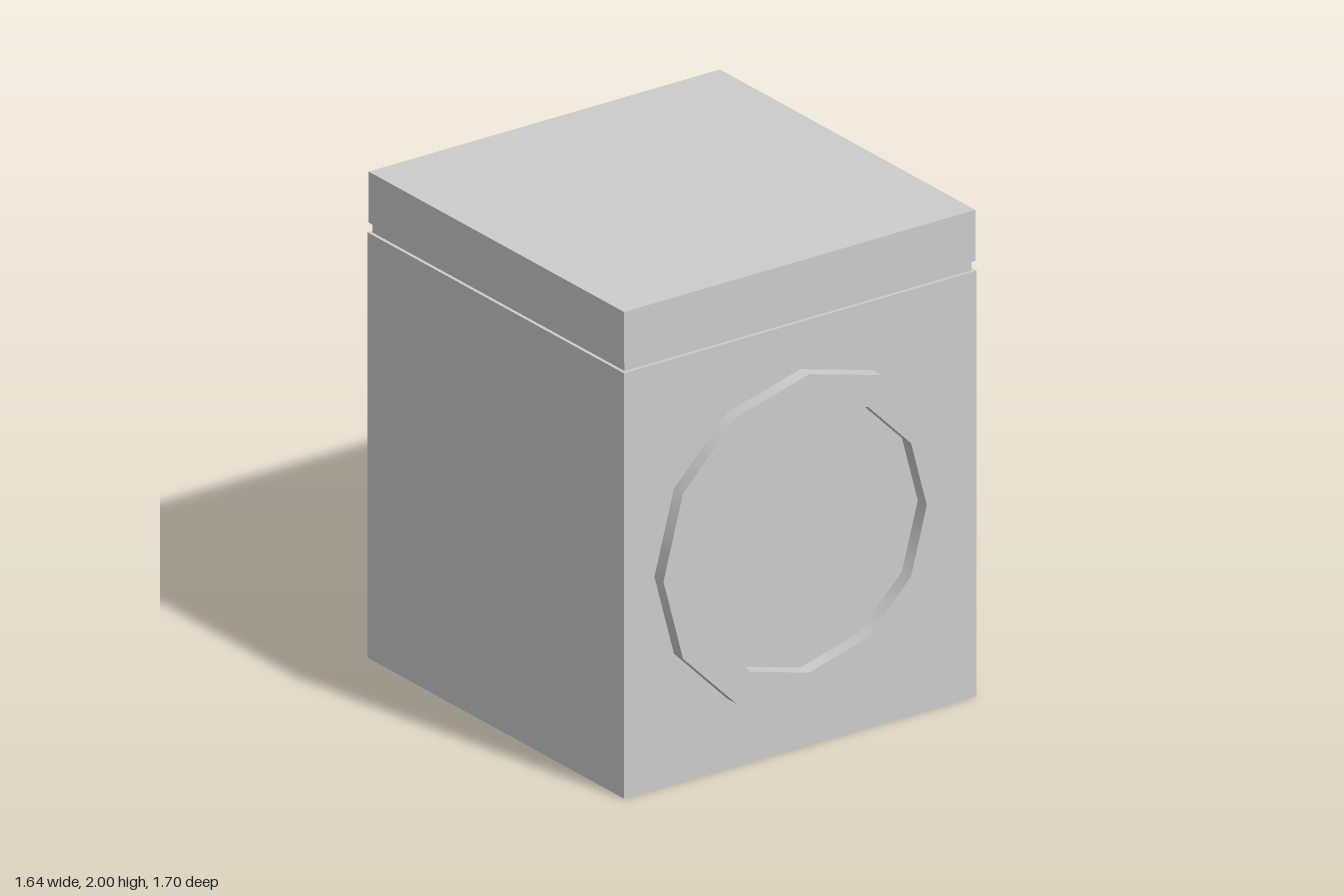
import * as THREE from 'three';
import { mergeGeometries } from 'three/addons/utils/BufferGeometryUtils.js';

export function createModel() {
  const group = new THREE.Group();
  const material = new THREE.MeshStandardMaterial({ color: 0xcccccc });
  const centreZ = -0.028;

  function add(name, geometry, y, z) {
    const mesh = new THREE.Mesh(geometry, material);
    mesh.name = name;
    mesh.position.set(0, y, z);
    group.add(mesh);
  }

  // Stacked square slabs: cabinet, recessed gap and top panel
  const slabs = [
    ['cabinet', 1.645, 0, 1.75],
    ['recessedGap', 1.616, 1.75, 1.79],
    ['topPanel', 1.638, 1.79, 2],
  ];
  for (const [name, width, bottom, top] of slabs) {
    add(name, new THREE.BoxGeometry(width, top - bottom, width), (bottom + top) / 2, centreZ);
  }

  // Twelve-sided door ring: outer wall, front rim and inner wall,
  // kept separate so the edges between them stay sharp
  const outer = 0.68, inner = 0.548, depth = 0.058;
  const profile = [[outer, 0], [outer, depth], [inner, depth], [inner, 0]]
    .map(([r, h]) => new THREE.Vector2(r, h));
  const bands = [0, 1, 2].map((i) => new THREE.LatheGeometry(profile.slice(i, i + 2), 12));
  add('doorRing', mergeGeometries(bands).rotateX(Math.PI / 2), 0.876, 0.7945);

  return group;
}
